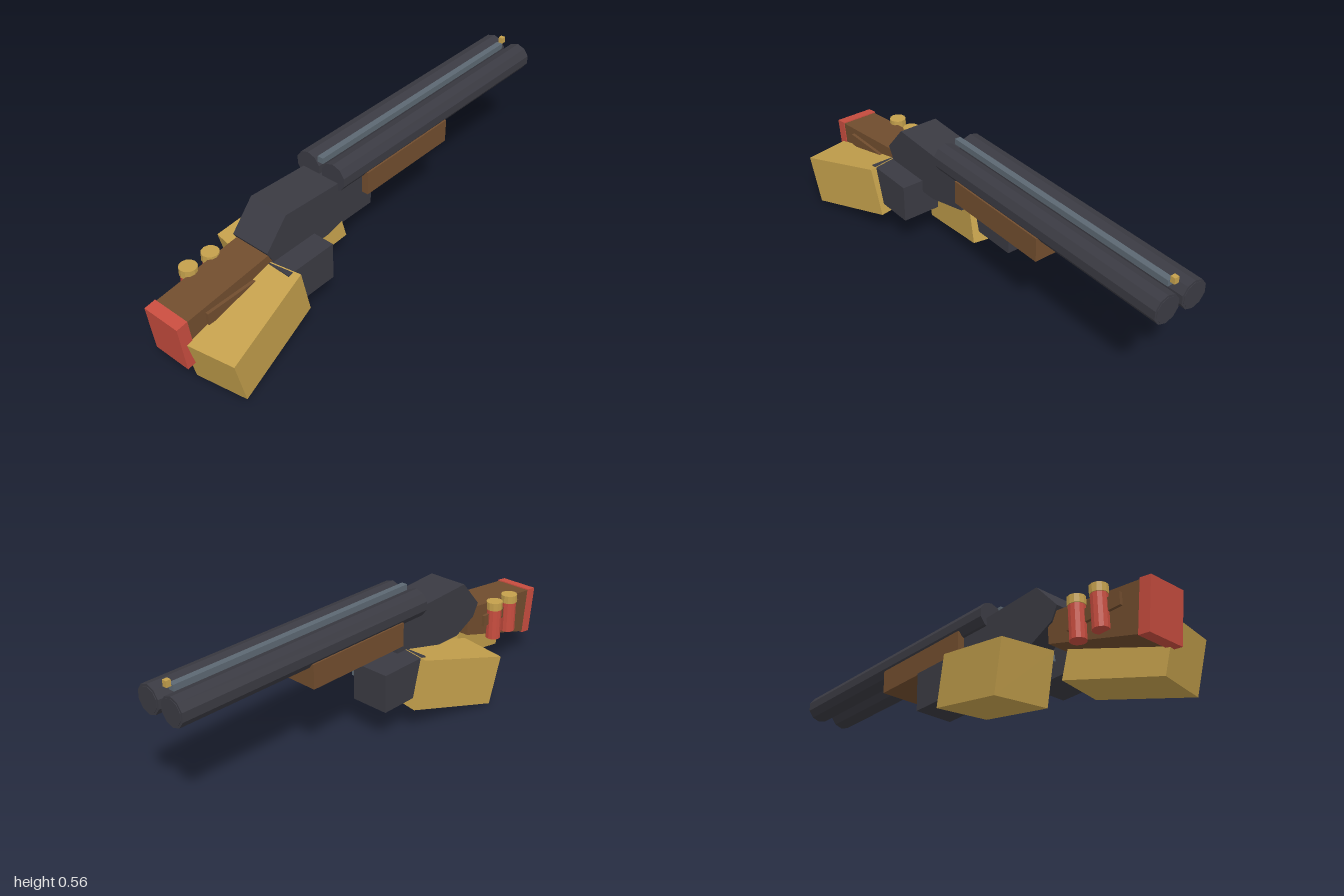
import * as THREE from 'three';

const mat = (name, color) => {
  const m = new THREE.MeshStandardMaterial({ color, flatShading: true });
  m.name = name;
  return m;
};

export function createModel() {
  const steel = mat('dark steel', 0x3a3a42);
  const slate = mat('slate grey', 0x5c6872);
  const wood = mat('brown wood', 0x714d2e);
  const red = mat('red', 0xc84d3f);
  const gold = mat('brass yellow', 0xc4a04c);

  const model = new THREE.Group();
  model.name = 'doubleBarrelGun';

  const add = (name, geometry, material, parent = model) => {
    const mesh = new THREE.Mesh(geometry, material);
    mesh.name = name;
    parent.add(mesh);
    return mesh;
  };
  // Box given by its limits on each axis
  const box = (name, material, [x0, x1], [y0, y1], [z0, z1], parent) => {
    const mesh = add(name, new THREE.BoxGeometry(x1 - x0, y1 - y0, z1 - z0), material, parent);
    mesh.position.set((x0 + x1) / 2, (y0 + y1) / 2, (z0 + z1) / 2);
    return mesh;
  };
  // Side profile of [z, y] points, extruded to a given half width in x
  const slab = (name, material, points, half) => {
    const shape = new THREE.Shape(points.map(([z, y]) => new THREE.Vector2(-z, y)));
    const geometry = new THREE.ExtrudeGeometry(shape, { depth: half * 2, bevelEnabled: false });
    geometry.translate(0, 0, -half).rotateY(Math.PI / 2);
    return add(name, geometry, material);
  };

  // Twin barrels
  for (const side of [-1, 1]) {
    const barrel = add('barrel', new THREE.CylinderGeometry(0.0575, 0.0575, 1.2, 10).rotateX(Math.PI / 2), steel);
    barrel.position.set(side * 0.0625, 0.481, -0.4);
    const muzzle = add('muzzle', new THREE.CylinderGeometry(0.049, 0.049, 0.006, 10).rotateX(Math.PI / 2), steel);
    muzzle.position.set(side * 0.0625, 0.481, -0.999);
  }
  box('sightRib', slate, [-0.013, 0.013], [0.518, 0.543], [-0.95, 0.2]);
  box('frontSight', gold, [-0.01, 0.01], [0.54, 0.565], [-0.975, -0.955]);
  box('foreEnd', wood, [-0.117, 0.117], [0.353, 0.453], [-0.42, 0.065]);

  // Receiver
  slab('receiver', steel, [
    [0.575, 0.364], [0.475, 0.479], [0.2, 0.465], [0.065, 0.445],
    [0.065, 0.305], [0.26, 0.258], [0.44, 0.258], [0.545, 0.31],
  ], 0.087);
  box('trigger', steel, [-0.012, 0.012], [0.2, 0.27], [0.37, 0.39]);

  // Stock with butt pad and side straps
  slab('stock', wood, [[0.52, 0.352], [0.955, 0.302], [0.93, 0.107], [0.52, 0.23]], 0.08);
  slab('buttPad', red, [[0.952, 0.307], [1.0, 0.3], [0.975, 0.097], [0.927, 0.103]], 0.083);
  box('shellStrap', wood, [-0.093, 0.093], [0.238, 0.288], [0.62, 0.87]);

  // Spare shells beside the stock
  for (const z of [0.68, 0.785]) {
    const shell = new THREE.Group();
    shell.name = 'spareShell';
    shell.position.set(-0.098, 0, z);
    model.add(shell);
    add('shellCase', new THREE.CylinderGeometry(0.032, 0.032, 0.137, 12), red, shell).position.y = 0.2415;
    add('shellCap', new THREE.CylinderGeometry(0.035, 0.035, 0.034, 12), gold, shell).position.y = 0.325;
  }

  // Blocky hands and sleeves: the left one sits under the stock, the right one further ahead
  for (const [side, label, shift] of [[1, 'left', 0], [-1, 'right', -0.44]]) {
    const sleeve = add(label + 'Sleeve', new THREE.BoxGeometry(0.22, 0.21, 0.42), gold);
    sleeve.position.set(side * 0.131, 0.157, 0.725 + shift);
    sleeve.rotation.set(0.253, side * 0.175, 0, 'YXZ');
    const hand = box(label + 'Hand', steel, [-0.0835, 0.0835], [0.15, 0.31], [0.333, 0.565]);
    hand.position.x = side * 0.0965;
    hand.position.z += shift;
  }
  // Fingers of the forward hand and the trigger finger
  for (const z of [0.065, -0.005, -0.075]) {
    box('finger', slate, [-0.03, 0.002], [0.248, 0.312], [z - 0.026, z + 0.026]);
  }
  box('triggerFinger', slate, [-0.005, 0.03], [0.213, 0.24], [0.32, 0.46]);

  return model;
}
